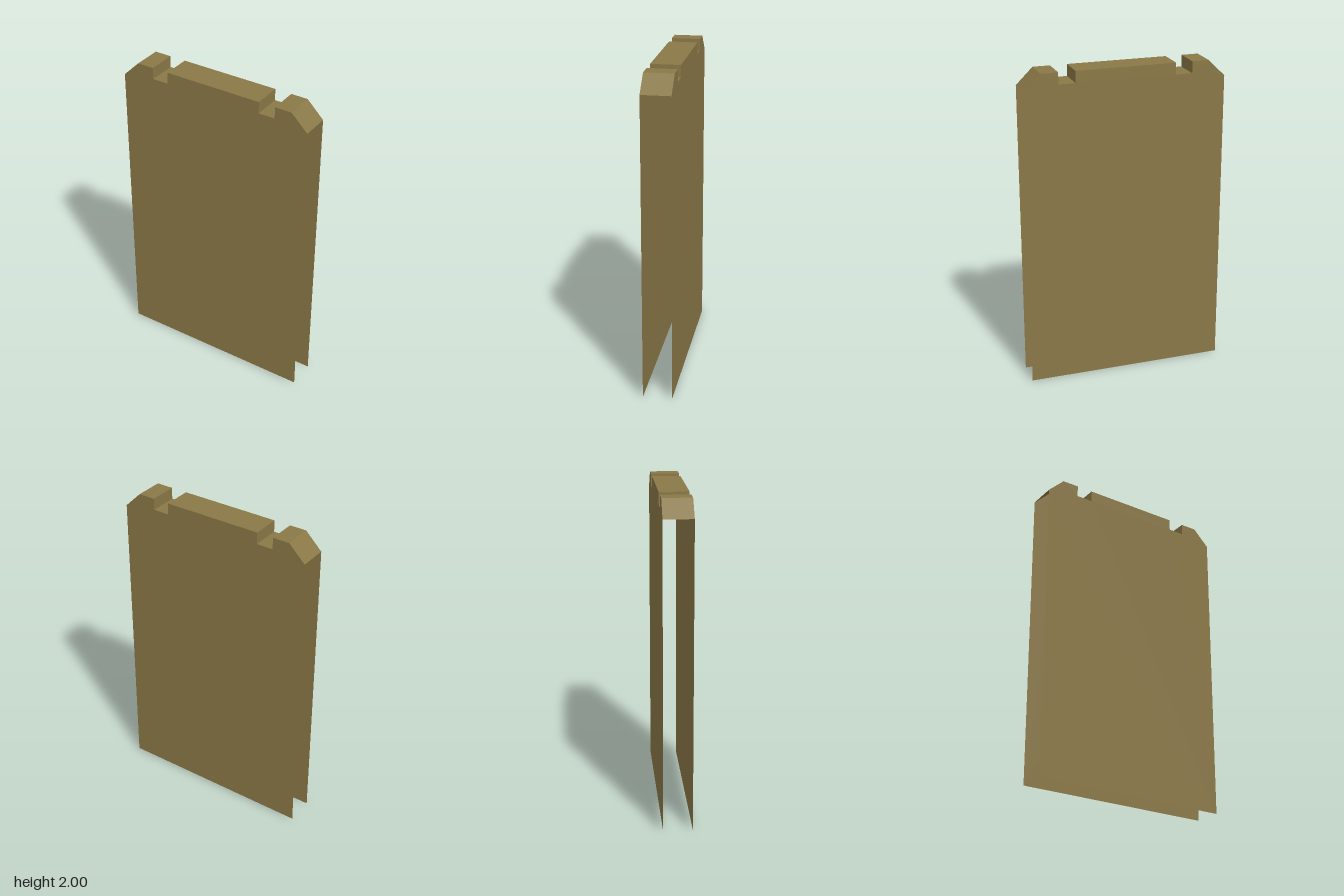
import * as THREE from 'three';

const HALF_DEPTH = 0.09;

// Top outline from the model's right to its left: chamfer, notch, middle, notch, chamfer
const half = [[0.315, 2], [0.315, 1.927], [0.42, 1.927], [0.42, 2], [0.527, 2], [0.632, 1.897]];
const outline = [...half.map(([x, y]) => [-x, y]).reverse(), ...half];

export function createModel() {
  const group = new THREE.Group();
  group.name = 'notchedShell';
  const olive = new THREE.MeshStandardMaterial({ color: 0x8a7847, side: THREE.DoubleSide });
  olive.name = 'olive brown';

  // Front and back panels
  const shape = new THREE.Shape();
  shape.moveTo(-0.632, 0);
  shape.lineTo(0.632, 0);
  [...outline].reverse().forEach(([x, y]) => shape.lineTo(x, y));
  shape.closePath();
  const panelGeometry = new THREE.ShapeGeometry(shape);
  for (const [name, side] of [['frontPanel', 1], ['backPanel', -1]]) {
    const panel = new THREE.Mesh(panelGeometry, olive);
    panel.name = name;
    panel.position.z = side * HALF_DEPTH;
    if (side < 0) panel.rotation.y = Math.PI;
    group.add(panel);
  }

  // Folded top strip joining the panels; sides and bottom stay open
  const top = new THREE.Group();
  top.name = 'topStrip';
  for (let i = 0; i < outline.length - 1; i++) {
    const [x0, y0] = outline[i];
    const [x1, y1] = outline[i + 1];
    const geometry = new THREE.PlaneGeometry(Math.hypot(x1 - x0, y1 - y0), 2 * HALF_DEPTH);
    geometry.rotateX(-Math.PI / 2);
    geometry.rotateZ(Math.atan2(y1 - y0, x1 - x0));
    geometry.translate((x0 + x1) / 2, (y0 + y1) / 2, 0);
    const face = new THREE.Mesh(geometry, olive);
    face.name = 'topFace' + (i + 1);
    top.add(face);
  }
  group.add(top);
  return group;
}
